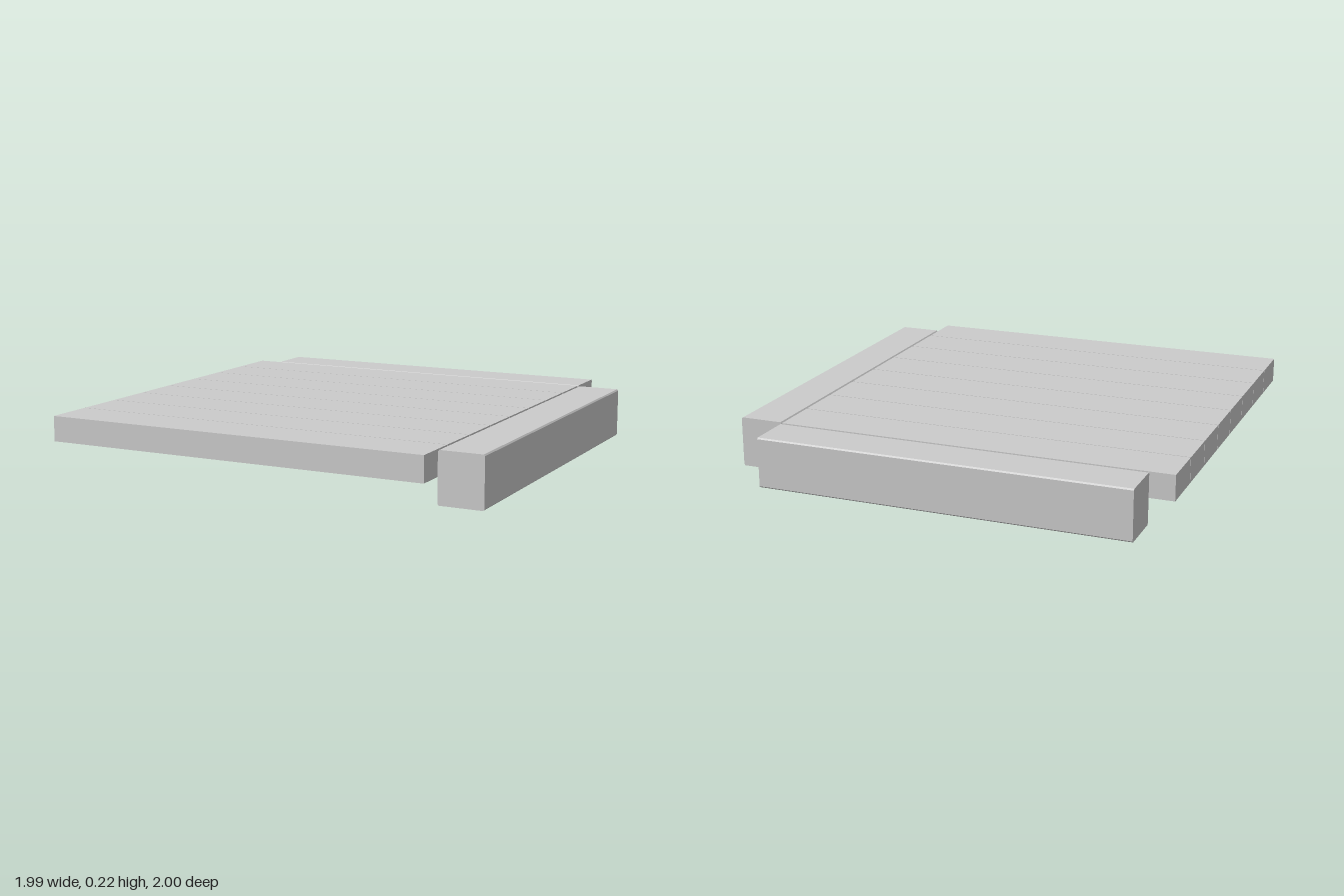
import * as THREE from 'three';

const material = new THREE.MeshStandardMaterial({ color: 0xcccccc, flatShading: true });

// Square timber lying along z, long edges slightly chamfered, centred on its middle
function beamGeometry(width, height, length, c = 0.006) {
  const w = width / 2, h = height / 2;
  const section = new THREE.Shape([
    [-w + c, -h], [w - c, -h], [w, -h + c], [w, h - c],
    [w - c, h], [-w + c, h], [-w, h - c], [-w, -h + c],
  ].map(([x, y]) => new THREE.Vector2(x, y)));
  return new THREE.ExtrudeGeometry(section, { depth: length, bevelEnabled: false })
    .translate(0, 0, -length / 2);
}

export function createModel() {
  const model = new THREE.Group();
  model.name = 'plankPlatform';

  const add = (name, geometry, x, y, z) => {
    const mesh = new THREE.Mesh(geometry, material);
    mesh.name = name;
    mesh.position.set(x, y, z);
    model.add(mesh);
    return mesh;
  };

  // Deck: eight planks side by side with hairline gaps
  const count = 8, back = -0.787, front = 1, gap = 0.004;
  const pitch = (front - back + gap) / count;
  const plank = new THREE.BoxGeometry(1.778, 0.113, pitch - gap);
  for (let i = 0; i < count; i++) {
    add(`plank${i + 1}`, plank, -0.106, 0.1685, back + pitch * i + (pitch - gap) / 2);
  }

  // Two taller edge beams, each set back from the deck's outer corner
  add('leftBeam', beamGeometry(0.2, 0.225, 1.665), 0.89, 0.1125, 0.053);
  add('backBeam', beamGeometry(0.205, 0.225, 1.67), -0.052, 0.1125, -0.8975)
    .rotation.y = Math.PI / 2;

  return model;
}
